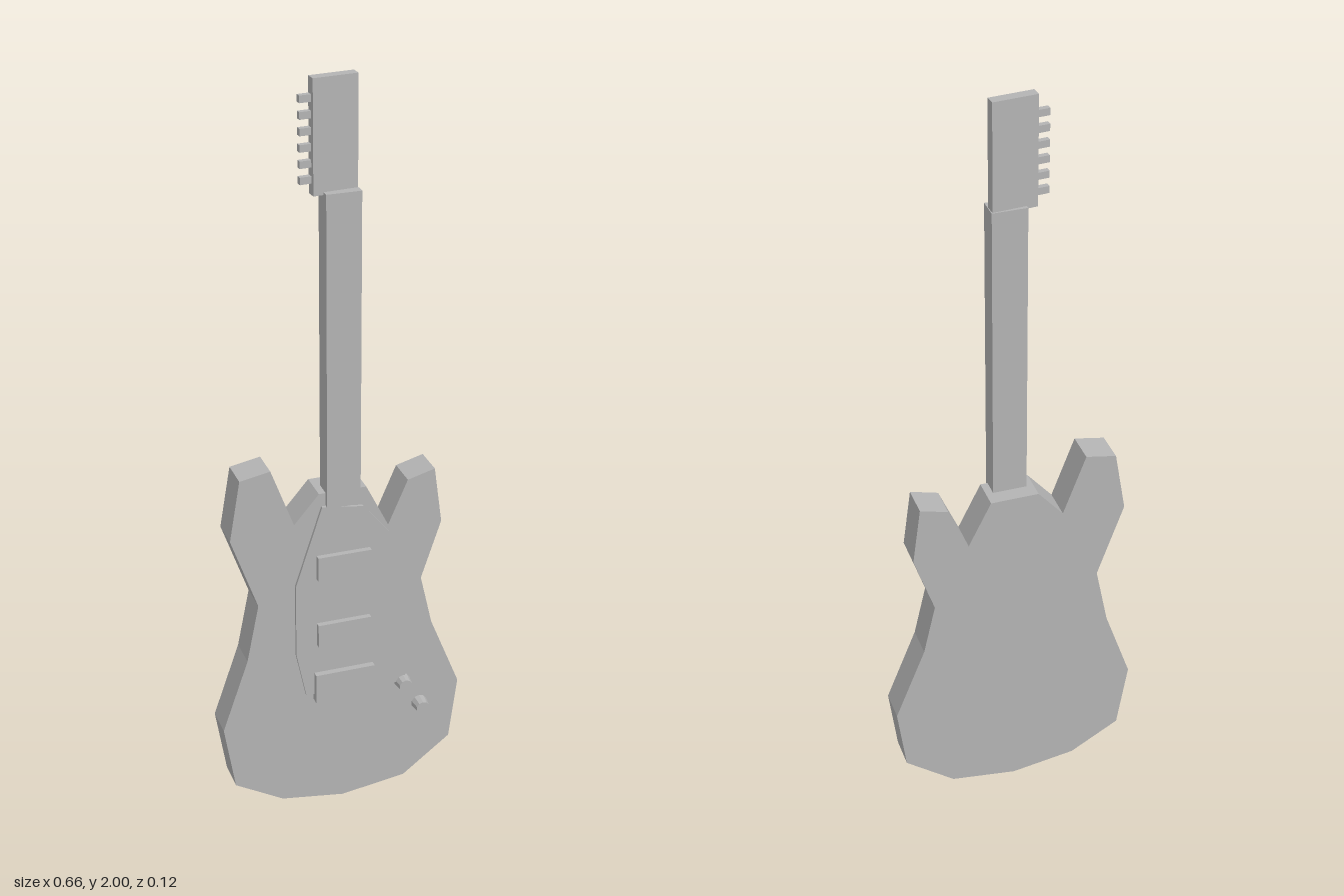
import * as THREE from 'three';

export function createModel() {
  const guitar = new THREE.Group();
  guitar.name = 'guitar';
  const grey = new THREE.MeshStandardMaterial({ color: 0xb4b4b4 });
  grey.name = 'plain grey';

  const add = (name, geometry, x = 0, y = 0, z = 0, parent = guitar) => {
    const mesh = new THREE.Mesh(geometry, grey);
    mesh.name = name;
    mesh.position.set(x, y, z);
    parent.add(mesh);
    return mesh;
  };

  // Box given by its lower and upper bounds on each axis
  const box = (name, [x0, x1], [y0, y1], [z0, z1], parent = guitar) =>
    add(name, new THREE.BoxGeometry(x1 - x0, y1 - y0, z1 - z0),
      (x0 + x1) / 2, (y0 + y1) / 2, (z0 + z1) / 2, parent);

  // Flat slab cut from an outline
  const slab = (name, outline, z0, z1) => {
    const shape = new THREE.Shape(outline.map(([x, y]) => new THREE.Vector2(x, y)));
    return add(name, new THREE.ExtrudeGeometry(shape, { depth: z1 - z0, bevelEnabled: false }), 0, 0, z0);
  };

  // Double-horned body, anticlockwise from the bottom
  slab('body', [
    [0, 0], [0.175, 0.025], [0.305, 0.125], [0.327, 0.3], [0.247, 0.5], [0.215, 0.64],
    [0.268, 0.8], [0.247, 0.955], [0.174, 0.935], [0.122, 0.815], [0.062, 0.935],
    [-0.064, 0.935], [-0.13, 0.858], [-0.19, 1.02], [-0.27, 1.005], [-0.298, 0.84],
    [-0.228, 0.64], [-0.26, 0.48], [-0.329, 0.28], [-0.3, 0.1], [-0.17, 0.025],
  ], -0.06, 0.026);

  // Thin plate under the pickups
  slab('pickguard', [
    [-0.104, 0.348], [0.169, 0.334], [0.207, 0.527], [0.143, 0.774],
    [0.052, 0.885], [-0.058, 0.9], [-0.13, 0.68], [-0.13, 0.476],
  ], 0.026, 0.034);

  box('neck', [-0.046, 0.043], [0.895, 1.725], [-0.019, 0.037]);

  // Pickups and bridge
  box('neckPickup', [-0.074, 0.07], [0.695, 0.763], [0.03, 0.049]);
  box('middlePickup', [-0.074, 0.07], [0.498, 0.563], [0.03, 0.049]);
  box('bridge', [-0.082, 0.08], [0.328, 0.413], [0.026, 0.051]);

  // Tapered control knobs
  for (const [x, y] of [[0.167, 0.332], [0.217, 0.252]]) {
    const geometry = new THREE.CylinderGeometry(0.018, 0.022, 0.031, 10).toNonIndexed();
    geometry.computeVertexNormals();
    add('knob', geometry, x, y, 0.0415).rotation.x = Math.PI / 2;
  }

  // Slightly twisted headstock with six tuning pegs
  const head = new THREE.Group();
  head.name = 'headstockGroup';
  head.position.set(-0.016, 0, 0.002);
  head.rotation.y = 0.08;
  guitar.add(head);
  box('headstock', [-0.057, 0.057], [1.718, 2], [-0.0135, 0.0135], head);
  for (let i = 0; i < 6; i++) {
    const y = 1.755 + i * 0.0392;
    box('tuningPeg', [-0.086, -0.055], [y - 0.009, y + 0.009], [-0.012, 0.002], head);
  }

  return guitar;
}
